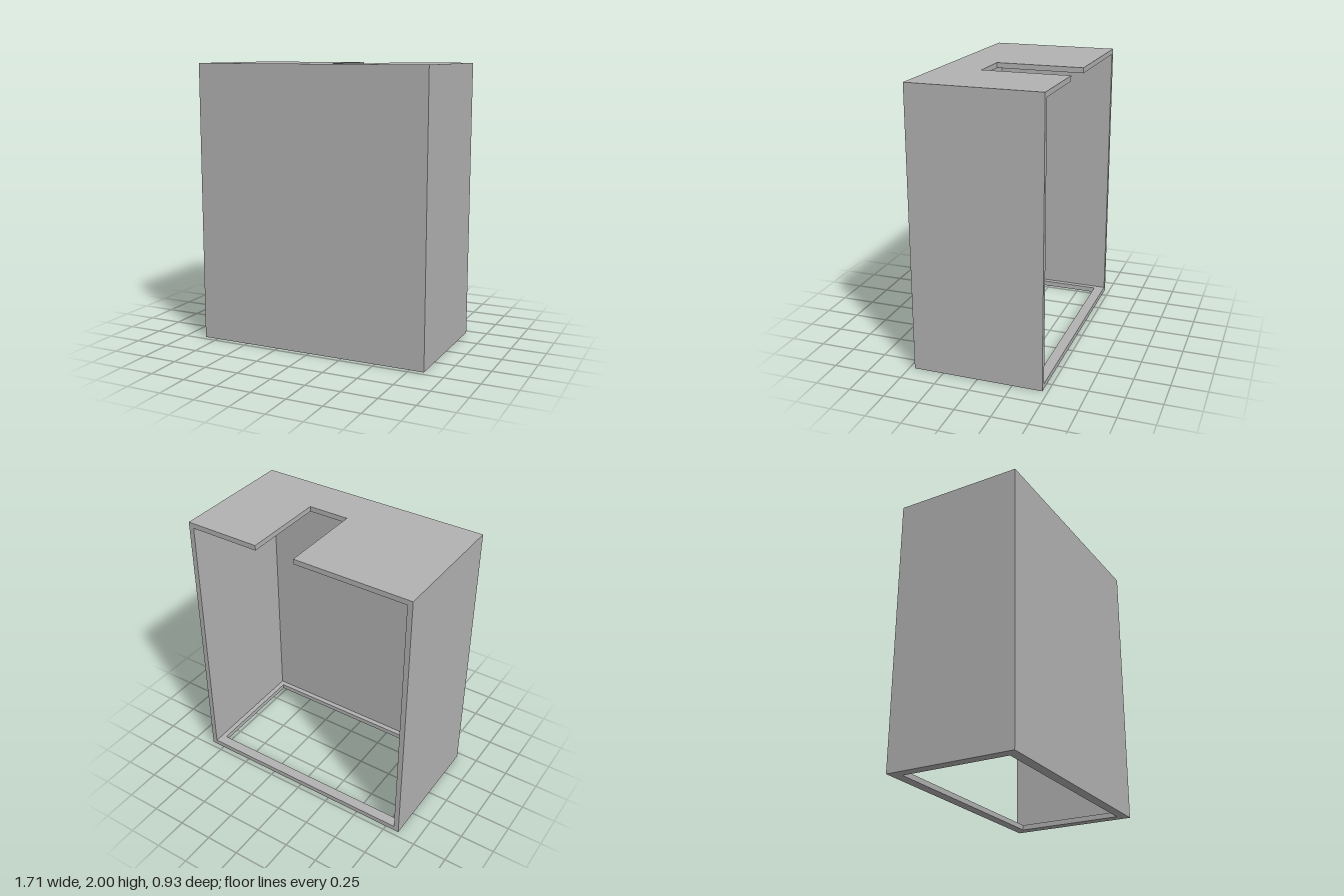
import * as THREE from 'three';

const W = 0.853, D = 0.463, H = 2; // half width, half depth, height
const T = 0.037;                   // panel thickness
const RIM = 0.074;                 // floor frame width

export function createModel() {
  const group = new THREE.Group();
  group.name = 'openBackCabinet';
  const grey = new THREE.MeshStandardMaterial({ color: 0xb2b2b2 });
  grey.name = 'grey';

  // Plan outlines use (x, -z), so the back lies at +y before rotation
  const outline = (pts) => new THREE.Shape(pts.map(([x, y]) => new THREE.Vector2(x, y)));
  const slab = (name, shape, y, height) => {
    const geo = new THREE.ExtrudeGeometry(shape, { depth: height, bevelEnabled: false });
    geo.rotateX(-Math.PI / 2);
    const mesh = new THREE.Mesh(geo, grey);
    mesh.name = name;
    mesh.position.y = y;
    group.add(mesh);
  };

  // Floor frame with a large rectangular opening
  const floor = outline([[-W, -D], [W, -D], [W, D], [-W, D]]);
  const a = W - RIM, b = D - RIM;
  floor.holes.push(outline([[-a, -b], [-a, b], [a, b], [a, -b]]));
  slab('floorFrame', floor, 0, T);

  // Front and side walls, open at the back
  slab('walls', outline([
    [-W, -D], [W, -D], [W, D], [W - T, D],
    [W - T, -D + T], [-W + T, -D + T], [-W + T, D], [-W, D],
  ]), T, H - 2 * T);

  // Top panel with a notch running in from the back edge
  slab('topPanel', outline([
    [-W, -D], [W, -D], [W, D], [0.3, D],
    [0.3, -0.157], [0.003, -0.157], [0.003, D], [-W, D],
  ]), H - T, T);

  return group;
}
